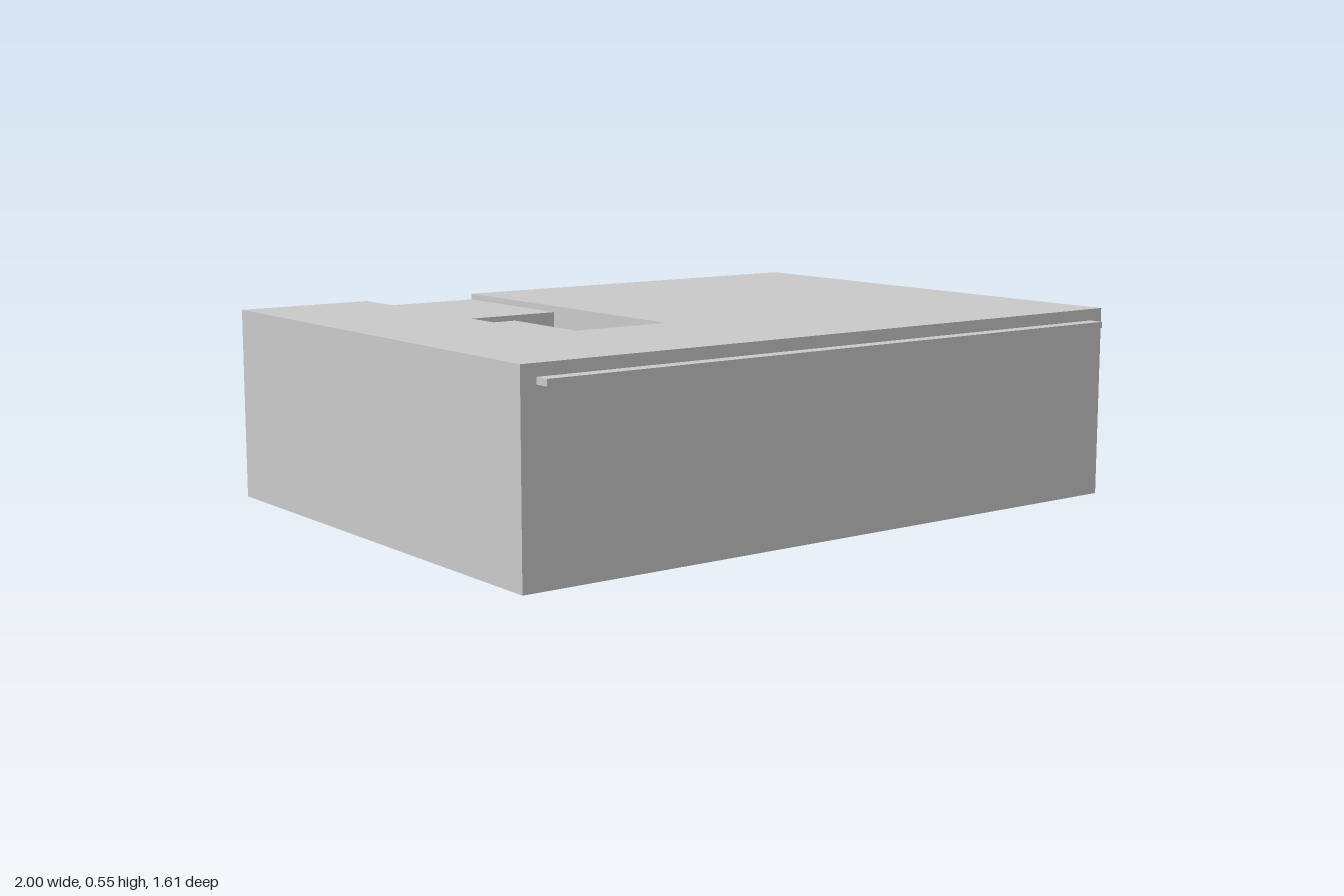
import * as THREE from 'three';

const TOP = 0.545, FLOOR = 0.445, BACK = -0.695, FRONT = 0.762;
const LENS_X = -0.43, LENS_Y = 0.27, SIDES = 12;
const SLOT_L = -0.595, SLOT_R = -0.23, SLOT_END = 0.302;

export function createModel() {
  const group = new THREE.Group();
  const grey = new THREE.MeshStandardMaterial({ color: 0xcccccc, flatShading: true });
  grey.name = 'casing grey';

  const add = (name, geometry) => {
    const mesh = new THREE.Mesh(geometry, grey);
    mesh.name = name;
    group.add(mesh);
    return mesh;
  };
  // Box given by its limits on each axis
  const box = (name, x0, x1, y0, y1, z0, z1) =>
    add(name, new THREE.BoxGeometry(x1 - x0, y1 - y0, z1 - z0))
      .position.set((x0 + x1) / 2, (y0 + y1) / 2, (z0 + z1) / 2);

  // Casing: solid base, then an upper layer with a slot open at the back
  box('casingBase', -1, 1, 0, FLOOR, BACK, FRONT);
  const plan = new THREE.Shape([
    [-1, BACK], [SLOT_L, BACK], [SLOT_L, SLOT_END], [SLOT_R, SLOT_END],
    [SLOT_R, BACK], [1, BACK], [1, FRONT], [-1, FRONT],
  ].map(([x, z]) => new THREE.Vector2(x, z)));
  const upper = new THREE.ExtrudeGeometry(plan, { depth: TOP - FLOOR, bevelEnabled: false });
  upper.rotateX(Math.PI / 2);
  add('casingUpper', upper).position.y = TOP;

  // Slightly sunken cover over the rear part of the slot
  box('slotCover', SLOT_L, SLOT_R, FLOOR, 0.527, BACK, -0.24);

  // Thin ledge along the front
  box('frontLedge', -0.955, 0.955, 0.494, 0.512, FRONT, 0.805);

  // Faceted barrel lying in the slot
  const barrelLength = SLOT_END + 0.24;
  const barrel = new THREE.CylinderGeometry(0.25, 0.25, barrelLength, SIDES, 1, false, Math.PI / SIDES);
  barrel.rotateX(-Math.PI / 2);
  add('lensBarrel', barrel).position.set(LENS_X, LENS_Y, SLOT_END - barrelLength / 2);

  // Collar over the top and sides of the lens, cut off level below
  const arc = [];
  for (let a = -15; a <= 195; a += 30) {
    const t = THREE.MathUtils.degToRad(a);
    arc.push(new THREE.Vector2(0.252 * Math.cos(t), 0.252 * Math.sin(t)));
  }
  const collar = new THREE.ExtrudeGeometry(new THREE.Shape(arc), { depth: 0.07, bevelEnabled: false });
  add('lensCollar', collar).position.set(LENS_X, LENS_Y, BACK - 0.07);

  // Lens ring with a recessed face and a tiny centre hole
  const profile = [
    [0.186, 0], [0.186, 0.11], [0.15, 0.11], [0.15, 0.073],
    [0.006, 0.073], [0.006, 0.065], [0, 0.065],
  ].map(([r, y]) => new THREE.Vector2(r, y));
  const ring = new THREE.LatheGeometry(profile, SIDES, Math.PI / SIDES);
  ring.rotateX(-Math.PI / 2);
  add('lensRing', ring).position.set(LENS_X, LENS_Y, BACK);

  return group;
}
